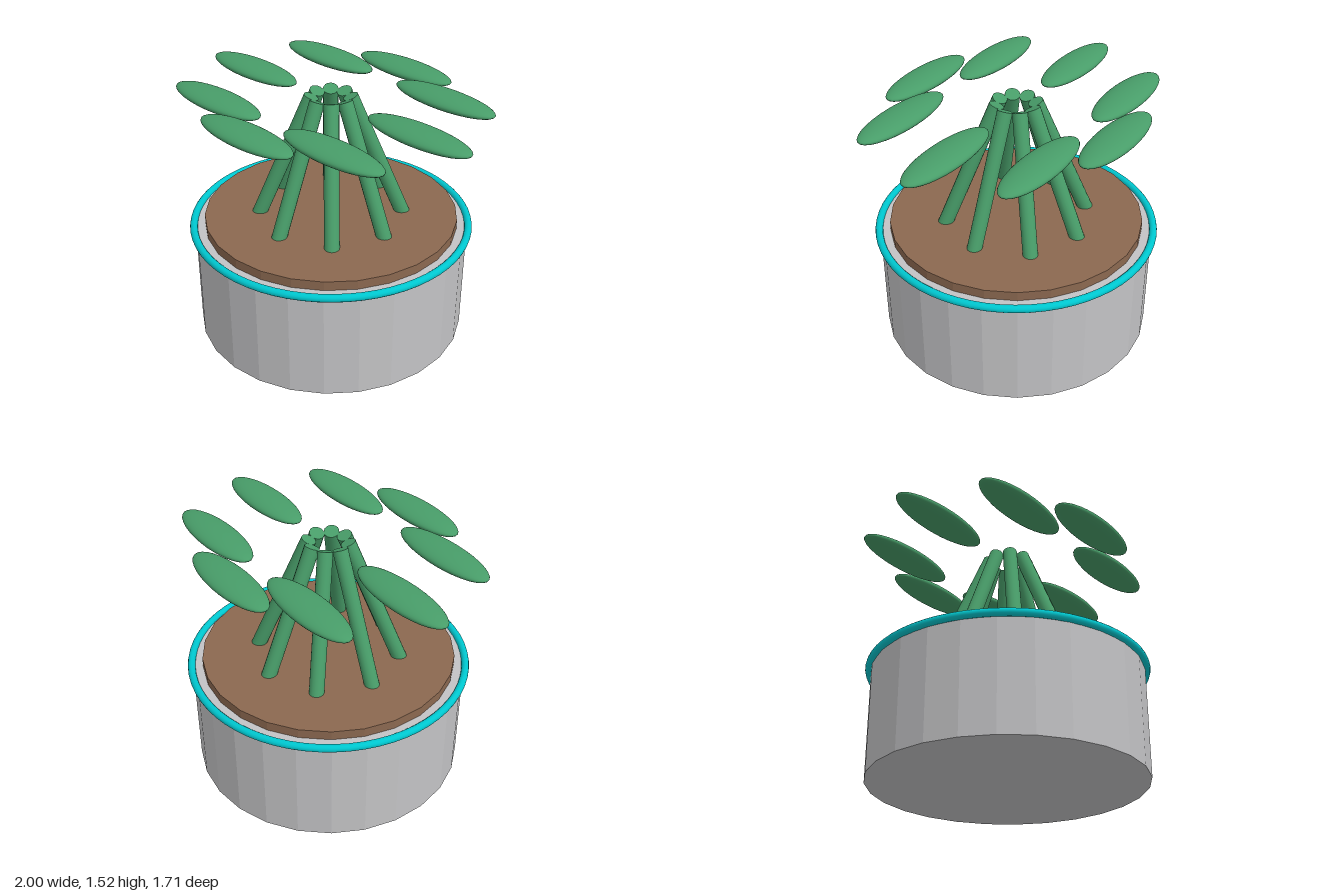
import * as THREE from 'three';

const material = (name, color, flatShading = false) => {
  const m = new THREE.MeshStandardMaterial({ color, flatShading });
  m.name = name;
  return m;
};

export function createModel() {
  const grey = material('potGrey', 0xc3c3c5, true);
  const cyan = material('rimCyan', 0x00c8d0);
  const brown = material('soilBrown', 0x8b6850, true);
  const green = material('plantGreen', 0x489d69);

  const model = new THREE.Group();
  model.name = 'pottedPlant';

  const add = (name, geometry, mat, x = 0, y = 0, z = 0) => {
    const mesh = new THREE.Mesh(geometry, mat);
    mesh.name = name;
    mesh.position.set(x, y, z);
    model.add(mesh);
    return mesh;
  };

  // Faceted pot, rim ring and soil disc
  add('pot', new THREE.CylinderGeometry(0.826, 0.826, 0.685, 26), grey, 0, 0.3425, 0);
  add('rim', new THREE.TorusGeometry(0.834, 0.023, 12, 64), cyan, 0, 0.685, 0).rotation.x = Math.PI / 2;
  add('soil', new THREE.CylinderGeometry(0.765, 0.765, 0.08, 26), brown, 0, 0.702, 0);

  // Eight stems leaning inward, each with a floating leaf on a wider ring
  const up = new THREE.Vector3(0, 1, 0);
  const leafGeometry = new THREE.SphereGeometry(1, 32, 20).scale(0.35, 0.044, 0.114);
  for (let i = 0; i < 8; i++) {
    const a = (i * Math.PI) / 4;
    const c = Math.cos(a), s = Math.sin(a);
    const base = new THREE.Vector3(c * 0.44, 0.715, s * 0.44);
    const tip = new THREE.Vector3(c * 0.112, 1.495, s * 0.112);
    const axis = tip.clone().sub(base);
    const stem = add('stem' + (i + 1), new THREE.CylinderGeometry(0.045, 0.045, axis.length(), 16), green);
    stem.position.copy(base).add(tip).multiplyScalar(0.5);
    stem.quaternion.setFromUnitVectors(up, axis.normalize());

    add('leaf' + (i + 1), leafGeometry, green, c * 0.65, 1.474, s * 0.648);
  }
  return model;
}
